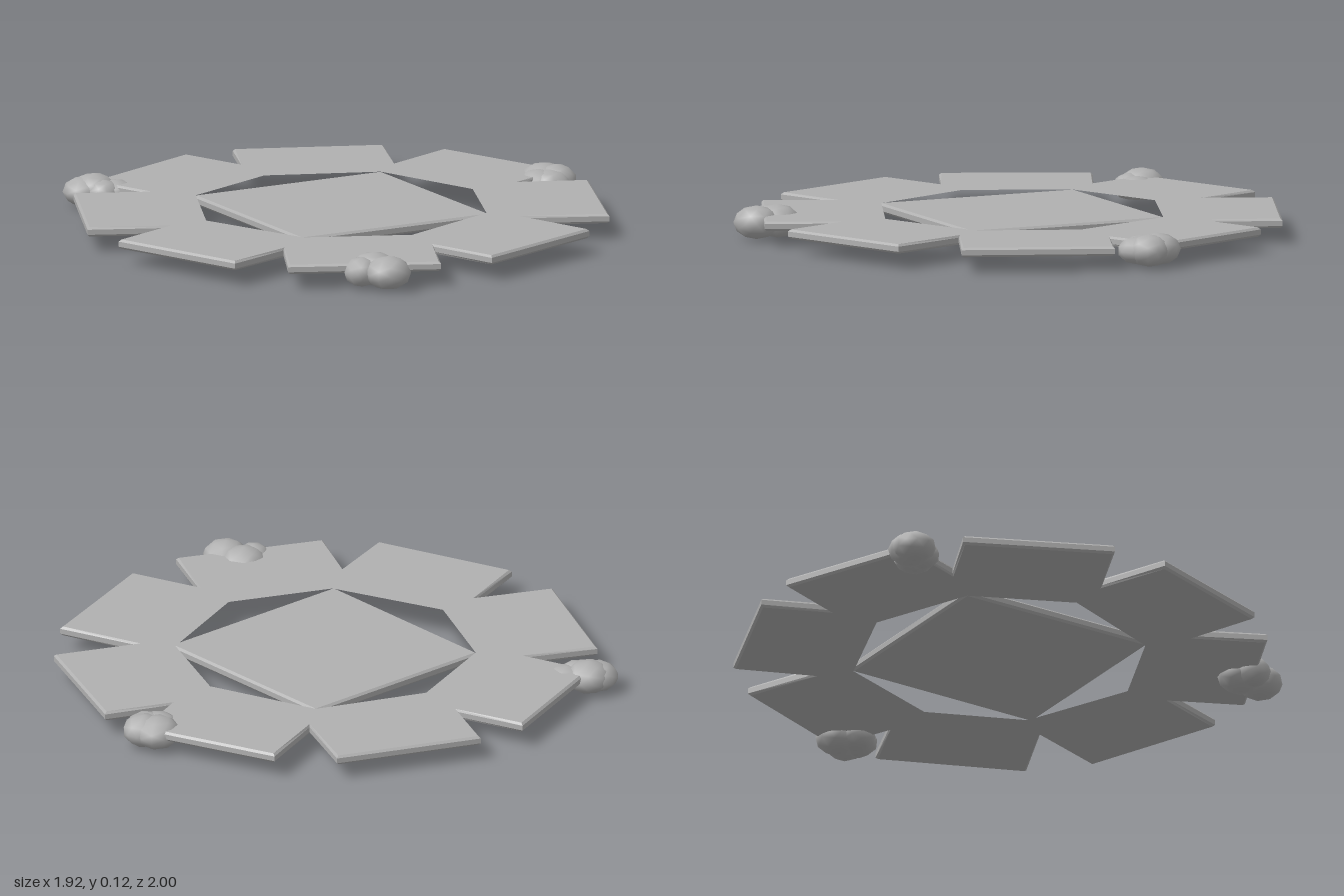
import * as THREE from 'three';

const stone = new THREE.MeshStandardMaterial({ color: 0xb0b0b0 });
stone.name = 'grey stone';

// Outlines as [x, z] corners on the ground plane
const ringOutline = [
  [-0.285, -0.99], [0.27, -0.995], [0.275, -0.695],
  [0.48, -0.905], [0.865, -0.52], [0.69, -0.345],
  [0.945, -0.35], [0.955, 0.21], [0.635, 0.205],
  [0.855, 0.435], [0.45, 0.82], [0.26, 0.615],
  [0.255, 0.895], [-0.305, 0.88], [-0.29, 0.61],
  [-0.49, 0.8], [-0.87, 0.4], [-0.665, 0.205],
  [-0.96, 0.2], [-0.945, -0.36], [-0.67, -0.35],
  [-0.855, -0.54], [-0.465, -0.93], [-0.28, -0.735],
];
const ringHole = [
  [-0.225, -0.56], [0.21, -0.57], [0.515, -0.25], [0.52, 0.14],
  [0.205, 0.46], [-0.2, 0.455], [-0.525, 0.14], [-0.515, -0.27],
];
const centreSquare = [[0.21, -0.57], [0.525, 0.155], [-0.205, 0.457], [-0.515, -0.27]];

// Flat slab with chamfered rims, lying between y = 0.06 and y = 0.095
function slab(name, outline, hole) {
  const toPoints = (list) => list.map(([x, z]) => new THREE.Vector2(x, -z));
  const shape = new THREE.Shape(toPoints(outline));
  if (hole) shape.holes.push(new THREE.Path(toPoints(hole)));
  const bevel = 0.008;
  const geometry = new THREE.ExtrudeGeometry(shape, {
    depth: 0.035 - 2 * bevel,
    bevelThickness: bevel,
    bevelSize: bevel,
    bevelOffset: -bevel,
    bevelSegments: 1,
  });
  geometry.rotateX(-Math.PI / 2);
  geometry.translate(0, 0.06 + bevel, 0);
  const mesh = new THREE.Mesh(geometry, stone);
  mesh.name = name;
  return mesh;
}

// Cluster of slightly flattened boulders: [x, y, z, radius, half height]
function boulderCluster(name, boulders) {
  const group = new THREE.Group();
  group.name = name;
  boulders.forEach(([x, y, z, radius, halfHeight], i) => {
    const mesh = new THREE.Mesh(new THREE.IcosahedronGeometry(1, 1), stone);
    mesh.name = 'boulder' + (i + 1);
    mesh.scale.set(radius, halfHeight, radius);
    mesh.position.set(x, y, z);
    mesh.rotation.y = i * 0.9;
    group.add(mesh);
  });
  return group;
}

export function createModel() {
  const model = new THREE.Group();
  model.name = 'platform';
  model.add(
    slab('ringPlatform', ringOutline, ringHole),
    slab('centrePlatform', centreSquare),
    boulderCluster('frontBoulders', [
      [0.058, 0.065, 0.915, 0.085, 0.062],
      [0.015, 0.064, 0.838, 0.087, 0.062],
      [-0.035, 0.062, 0.875, 0.065, 0.055],
    ]),
    boulderCluster('rightBackBoulders', [
      [-0.885, 0.06, -0.53, 0.08, 0.055],
      [-0.85, 0.065, -0.535, 0.085, 0.06],
      [-0.775, 0.06, -0.51, 0.075, 0.045],
      [-0.82, 0.06, -0.49, 0.065, 0.05],
    ]),
    boulderCluster('leftBackBoulders', [
      [0.8, 0.065, -0.51, 0.088, 0.06],
      [0.84, 0.065, -0.48, 0.078, 0.06],
      [0.775, 0.062, -0.455, 0.075, 0.052],
      [0.815, 0.062, -0.445, 0.08, 0.052],
    ]),
  );
  return model;
}
